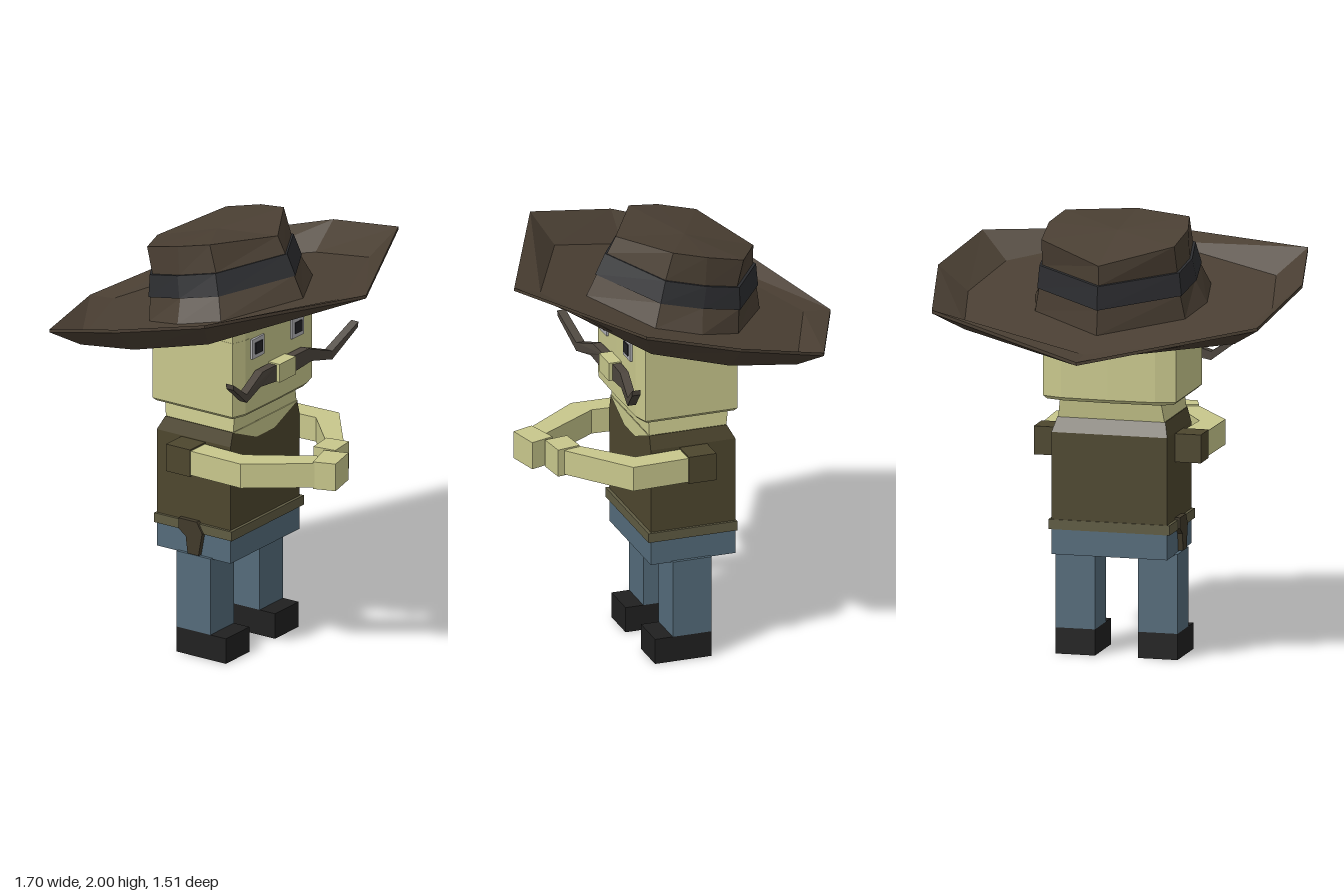
import * as THREE from 'three';

const mat = (color) => new THREE.MeshStandardMaterial({ color, flatShading: true });
const M = {
  skin: mat(0xc8c78c), shirt: mat(0x4d462e), belt: mat(0x5f5b42), jeans: mat(0x546b7a),
  shoe: mat(0x202020), hat: mat(0x4a3f33), band: mat(0x2c2d30), hair: mat(0x4d463e),
  eye: mat(0xb0b0b4), pupil: mat(0x222226), holster: mat(0x40392a),
};

export function createModel() {
  const model = new THREE.Group();
  const add = (name, geo, m, parent = model) => {
    const mesh = new THREE.Mesh(geo, m);
    mesh.name = name;
    parent.add(mesh);
    return mesh;
  };
  const group = (name) => {
    const g = new THREE.Group();
    g.name = name;
    model.add(g);
    return g;
  };
  // Box given by its limits
  const box = (name, m, [x0, x1], [y0, y1], [z0, z1], parent) =>
    add(name, new THREE.BoxGeometry(x1 - x0, y1 - y0, z1 - z0)
      .translate((x0 + x1) / 2, (y0 + y1) / 2, (z0 + z1) / 2), m, parent);
  const extrude = (pts, depth) => new THREE.ExtrudeGeometry(
    new THREE.Shape(pts.map(([x, y]) => new THREE.Vector2(x, y))), { depth, bevelEnabled: false });
  // Slab with an outline in x and z
  const slab = (name, m, pts, y0, y1, parent) =>
    add(name, extrude(pts.map(([x, z]) => [x, -z]), y1 - y0).rotateX(-Math.PI / 2).translate(0, y0, 0), m, parent);

  // Capped skin over closed rings, listed from bottom to top
  const loft = (rings) => {
    const pos = [], n = rings[0].length;
    const tri = (...p) => p.forEach((q) => pos.push(...q));
    const mid = (r) => [0, 1, 2].map((k) => r.reduce((s, p) => s + p[k], 0) / n);
    const first = rings[0], last = rings[rings.length - 1];
    for (let j = 0; j < n; j++) {
      const k = (j + 1) % n;
      for (let i = 0; i + 1 < rings.length; i++) {
        const a = rings[i], b = rings[i + 1];
        tri(a[j], a[k], b[k]);
        tri(a[j], b[k], b[j]);
      }
      tri(mid(first), first[k], first[j]);
      tri(mid(last), last[j], last[k]);
    }
    const g = new THREE.BufferGeometry();
    g.setAttribute('position', new THREE.Float32BufferAttribute(pos, 3));
    g.computeVertexNormals();
    return g;
  };
  const rect = (y, x, zf, zb) => [[-x, y, zf], [x, y, zf], [x, y, zb], [-x, y, zb]];
  // Half ring from front to back, mirrored to the other side
  const mirror = (half) => [...half, ...half.slice(1, -1).reverse().map(([x, y, z]) => [-x, y, z])];
  const lift = (ring, dy) => ring.map(([x, y, z]) => [x, y + dy, z]);

  // Legs and shoes
  for (const [side, s] of [['left', 1], ['right', -1]]) {
    const xr = s > 0 ? [0.1, 0.285] : [-0.285, -0.1];
    box(side + 'Leg', M.jeans, xr, [0.12, 0.485], [-0.085, 0.1]);
    box(side + 'Shoe', M.shoe, xr, [0, 0.12], [-0.085, 0.185]);
  }

  // Body
  box('hips', M.jeans, [-0.27, 0.27], [0.48, 0.6], [-0.205, 0.2]);
  box('belt', M.belt, [-0.283, 0.283], [0.595, 0.64], [-0.21, 0.215]);
  add('shirt', loft([rect(0.63, 0.27, 0.2, -0.205), rect(1.04, 0.27, 0.2, -0.205), rect(1.105, 0.252, 0.2, -0.17)]), M.shirt);
  add('neck', loft([rect(1.09, 0.25, 0.199, -0.168), rect(1.2, 0.235, 0.199, -0.185)]), M.skin);
  add('collarOpening', extrude([[-0.252, 1.105], [-0.07, 1.03], [0.07, 1.03], [0.252, 1.105]], 0.01).translate(0, 0, 0.193), M.skin);
  add('holster', extrude([[-0.07, 0.65], [-0.07, 0.6], [-0.03, 0.57], [-0.02, 0.49], [0.04, 0.49], [0.06, 0.6], [0.03, 0.65]], 0.025)
    .rotateY(-Math.PI / 2).translate(-0.268, 0, 0), M.holster);

  // Arms folded towards each other in front of the chest
  const leftArm = group('leftArm'), rightArm = group('rightArm');
  box('sleeve', M.shirt, [0.25, 0.39], [0.905, 1.035], [-0.07, 0.062], leftArm);
  box('sleeve', M.shirt, [-0.39, -0.25], [0.905, 1.035], [-0.07, 0.062], rightArm);
  slab('forearm', M.skin, [[0.385, 0.055], [0.396, 0.33], [0.11, 0.555], [0.07, 0.485], [0.285, 0.28], [0.275, 0.055]], 0.912, 1.028, leftArm);
  slab('hand', M.skin, [[0.11, 0.585], [-0.02, 0.6], [-0.035, 0.49], [0.09, 0.475]], 0.905, 1.035, leftArm);
  slab('forearm', M.skin, [[-0.385, 0.055], [-0.39, 0.34], [-0.19, 0.61], [-0.1, 0.57], [-0.285, 0.28], [-0.275, 0.055]], 0.912, 1.028, rightArm);
  slab('hand', M.skin, [[-0.195, 0.6], [-0.16, 0.7], [-0.01, 0.665], [-0.045, 0.555]], 0.905, 1.035, rightArm);

  // Head with slightly bowed front and back
  const headRing = (y, k) => mirror([[0, y, 0.265 * k], [0.24 * k, y, 0.262 * k], [0.31 * k, y, 0.24 * k],
    [0.31 * k, y, -0.2 * k], [0.22 * k, y, -0.228 * k], [0, y, -0.235 * k]]);
  const skull = loft([headRing(1.19, 0.95), headRing(1.205, 1), headRing(1.56, 1)]);
  add('head', skull, M.skin);
  const slope = (y0, r) => r.map(([x, z]) => [x, y0 + 0.22 * z, z]);
  const dome = headRing(1.56, 0.998);
  add('forehead', loft([dome, dome.map(([x, y, z]) => [x, 1.63 + 0.2 * z, z])]), M.skin);

  // Face
  for (const [side, s] of [['left', 1], ['right', -1]]) {
    const eye = group(side + 'Eye');
    box('eyeWhite', M.eye, [s * 0.155 - 0.047, s * 0.155 + 0.047], [1.458, 1.552], [0.24, 0.274], eye);
    box('pupil', M.pupil, [s * 0.155 - 0.027, s * 0.155 + 0.027], [1.478, 1.532], [0.25, 0.279], eye);
    const half = [[0.05, 1.395], [0.18, 1.4], [0.335, 1.345], [0.49, 1.445], [0.487, 1.42], [0.335, 1.305], [0.2, 1.335], [0.05, 1.315]];
    const geo = extrude(half.map(([x, y]) => [s * x, y]), 0.04).translate(0, 0, 0.265);
    const p = geo.attributes.position;
    for (let i = 0; i < p.count; i++) p.setZ(i, p.getZ(i) + 0.27 * p.getX(i) ** 2);
    geo.computeVertexNormals();
    add(side + 'Moustache', geo, M.hair);
  }
  box('nose', M.skin, [-0.063, 0.063], [1.315, 1.402], [0.25, 0.325]);

  // Hat: upturned brim, tapered crown and band, all tilted back
  const hat = group('hat');
  const base = mirror(slope(1.63, [[0, 0.41], [0.36, 0.21], [0.4, 0], [0.35, -0.19], [0, -0.42]]));
  const bend = mirror(slope(1.605, [[0, 0.63], [0.63, 0.33], [0.71, -0.02], [0.63, -0.37], [0, -0.63]]));
  const rim = mirror([[0, 1.805, 0.755], [0.76, 1.82, 0.4], [0.85, 1.735, -0.02], [0.76, 1.615, -0.45], [0, 1.475, -0.76]]);
  add('brim', loft([lift(base, -0.03), bend, lift(rim, -0.01), lift(rim, 0.005), lift(bend, 0.025), base]), M.hat, hat);
  const bandLow = mirror(slope(1.74, [[0, 0.36], [0.32, 0.17], [0.35, -0.02], [0.33, -0.2], [0, -0.405]]));
  const bandTop = mirror(slope(1.845, [[0, 0.315], [0.3, 0.14], [0.335, -0.04], [0.32, -0.2], [0, -0.395]]));
  const crownTop = mirror([[0, 1.99, 0.27], [0.29, 2, 0.1], [0.325, 1.97, -0.05], [0.31, 1.925, -0.23], [0, 1.85, -0.39]]);
  const grow = (ring, k) => ring.map(([x, y, z]) => [x * k, y, z * k]);
  add('crown', loft([base, bandLow, grow(bandTop, 0.985), crownTop]), M.hat, hat);
  add('hatBand', loft([grow(bandLow, 1.02), grow(bandTop, 1.02)]), M.band, hat);

  return model;
}
